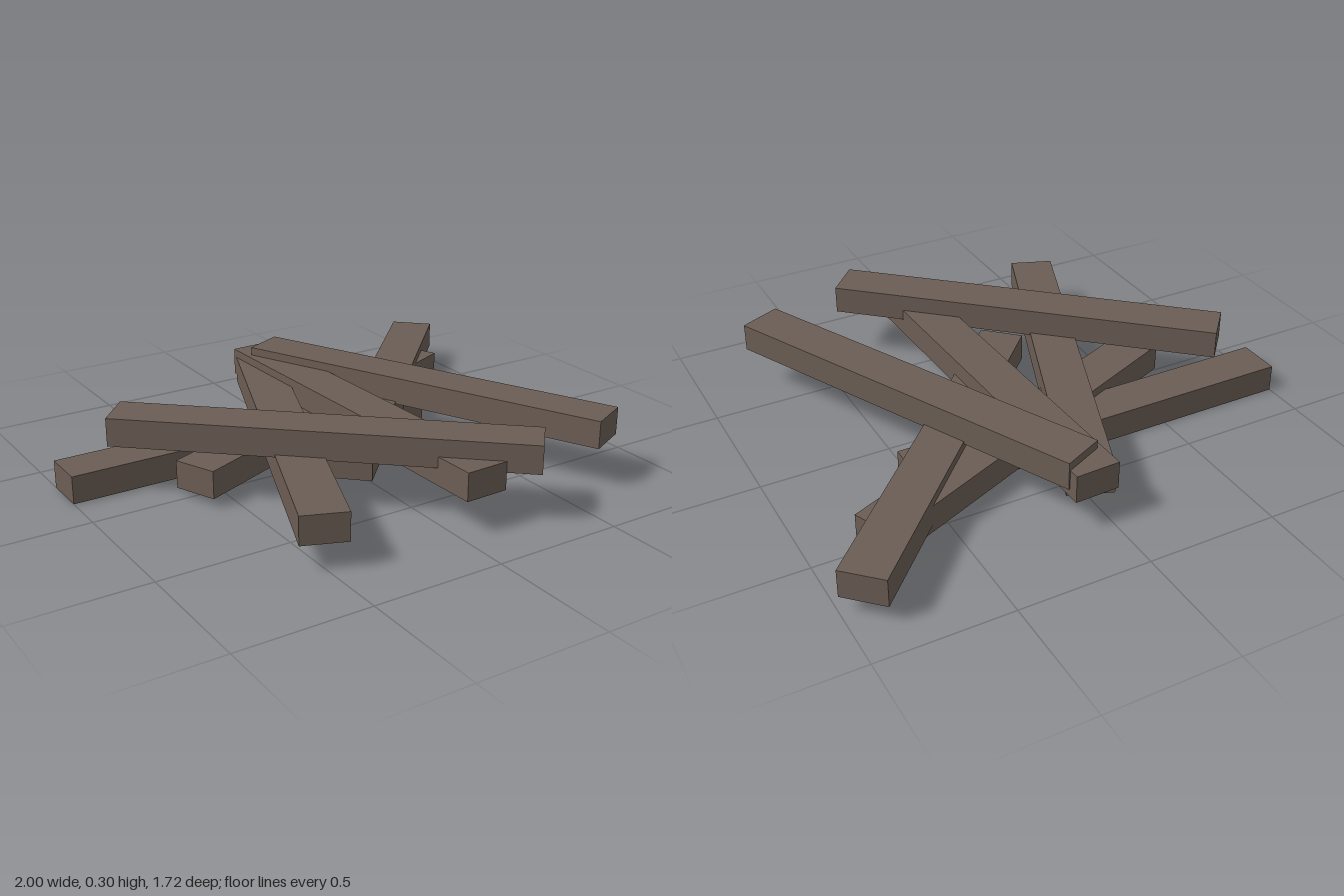
import * as THREE from 'three';

// Heap of identical beams, each lying a little higher than the one before
const LENGTH = 1.537, HEIGHT = 0.107, WIDTH = 0.17, STEP = 0.0325;

// centre x, centre z, turn about the vertical axis
const BEAMS = [
  [-0.231, -0.256, 0],
  [0.085, -0.255, 0.4],
  [0.402, -0.252, 0.8],
  [-0.227, 0.015, 1.197],
  [0.084, 0.015, 1.602],
  [0.402, 0.014, 2.009],
  [-0.232, 0.285, -0.732],
];

export function createModel() {
  const group = new THREE.Group();
  group.name = 'beamPile';
  const wood = new THREE.MeshStandardMaterial({ color: 0x6b5d54 });
  wood.name = 'weatheredWood';
  const geometry = new THREE.BoxGeometry(LENGTH, HEIGHT, WIDTH);

  BEAMS.forEach(([x, z, turn], i) => {
    const beam = new THREE.Mesh(geometry, wood);
    beam.name = `beam${i + 1}`;
    beam.position.set(x, HEIGHT / 2 + i * STEP, z);
    beam.rotation.y = turn;
    group.add(beam);
  });
  return group;
}
